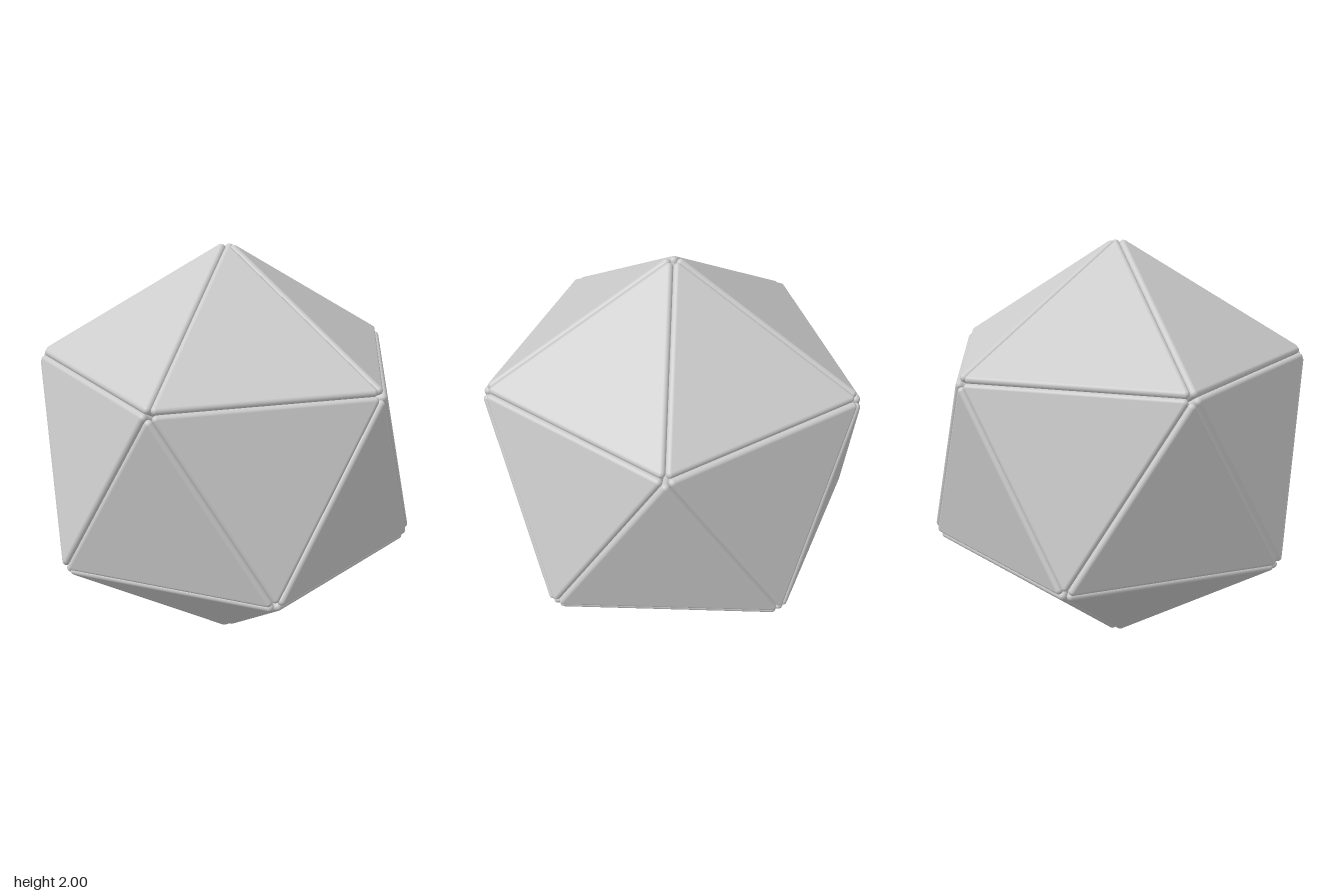
import * as THREE from 'three';

const R = 1.0312;                 // circumradius of the sharp solid
const r = 0.02;                   // rounding radius of each tile
const WALL = Math.atan(0.381966); // lean of a tile's side walls towards the centre
const ARC = 6, STEPS = 8;         // corner and fillet subdivisions

// One tile: a triangular pyramid to the centre with rolled-over outer edges
function tileGeometry(corners) {
  const centre = new THREE.Vector3();
  corners.forEach(c => centre.addScaledVector(c, 1 / 3));
  const n = centre.clone().normalize();
  const ux = corners[0].clone().sub(centre).normalize();
  const uy = n.clone().cross(ux);
  const inPlane = a => ux.clone().multiplyScalar(Math.cos(a)).addScaledVector(uy, Math.sin(a));
  const depth = centre.length() - r;
  const reach = 2 * (depth * Math.tan(WALL) - r / Math.cos(WALL));

  const pos = [], nor = [], index = [];
  const loop = 3 * (ARC + 1);
  // Rings roll from the flat face over the fillet; the last one closes at the centre
  for (let k = 0; k <= STEPS + 1; k++) {
    const phi = (Math.PI / 2 + WALL) * Math.min(k / STEPS, 1);
    for (let i = 0; i < 3; i++) {
      const mid = i * Math.PI * 2 / 3;
      const ball = n.clone().multiplyScalar(depth).addScaledVector(inPlane(mid), reach);
      for (let j = 0; j <= ARC; j++) {
        const m = inPlane(mid + (j / ARC - 0.5) * Math.PI * 2 / 3);
        const dir = n.clone().multiplyScalar(Math.cos(phi)).addScaledVector(m, Math.sin(phi));
        const p = ball.clone().addScaledVector(dir, r);
        if (k > STEPS) p.set(0, 0, 0);
        pos.push(p.x, p.y, p.z);
        nor.push(dir.x, dir.y, dir.z);
      }
    }
  }
  index.push(0, ARC + 1, 2 * (ARC + 1)); // flat outer face
  for (let k = 0; k <= STEPS; k++) {
    for (let i = 0; i < loop; i++) {
      const a = k * loop + i, b = k * loop + (i + 1) % loop;
      index.push(a, a + loop, b, b, a + loop, b + loop);
    }
  }
  const g = new THREE.BufferGeometry();
  g.setAttribute('position', new THREE.Float32BufferAttribute(pos, 3));
  g.setAttribute('normal', new THREE.Float32BufferAttribute(nor, 3));
  g.setIndex(index);
  return g;
}

export function createModel() {
  const group = new THREE.Group();
  group.name = 'twentySidedSolid';
  const material = new THREE.MeshStandardMaterial({ color: 0xcccccc });

  // Two poles and two rings of five corners
  const ring = (i, side) => {
    const a = (i + (side < 0 ? 0.5 : 0)) * Math.PI * 2 / 5;
    const h = R / Math.sqrt(5);
    return new THREE.Vector3(2 * h * Math.cos(a), side * h, 2 * h * Math.sin(a));
  };
  const top = new THREE.Vector3(0, R, 0), bottom = new THREE.Vector3(0, -R, 0);

  const addTile = (name, ...corners) => {
    const mesh = new THREE.Mesh(tileGeometry(corners), material);
    mesh.name = name;
    mesh.position.y = 1;
    group.add(mesh);
  };
  for (let i = 0; i < 5; i++) {
    addTile('topTile' + i, top, ring(i, 1), ring(i + 1, 1));
    addTile('upperBeltTile' + i, ring(i, -1), ring(i, 1), ring(i + 1, 1));
    addTile('lowerBeltTile' + i, ring(i + 1, 1), ring(i, -1), ring(i + 1, -1));
    addTile('bottomTile' + i, bottom, ring(i, -1), ring(i + 1, -1));
  }
  return group;
}
